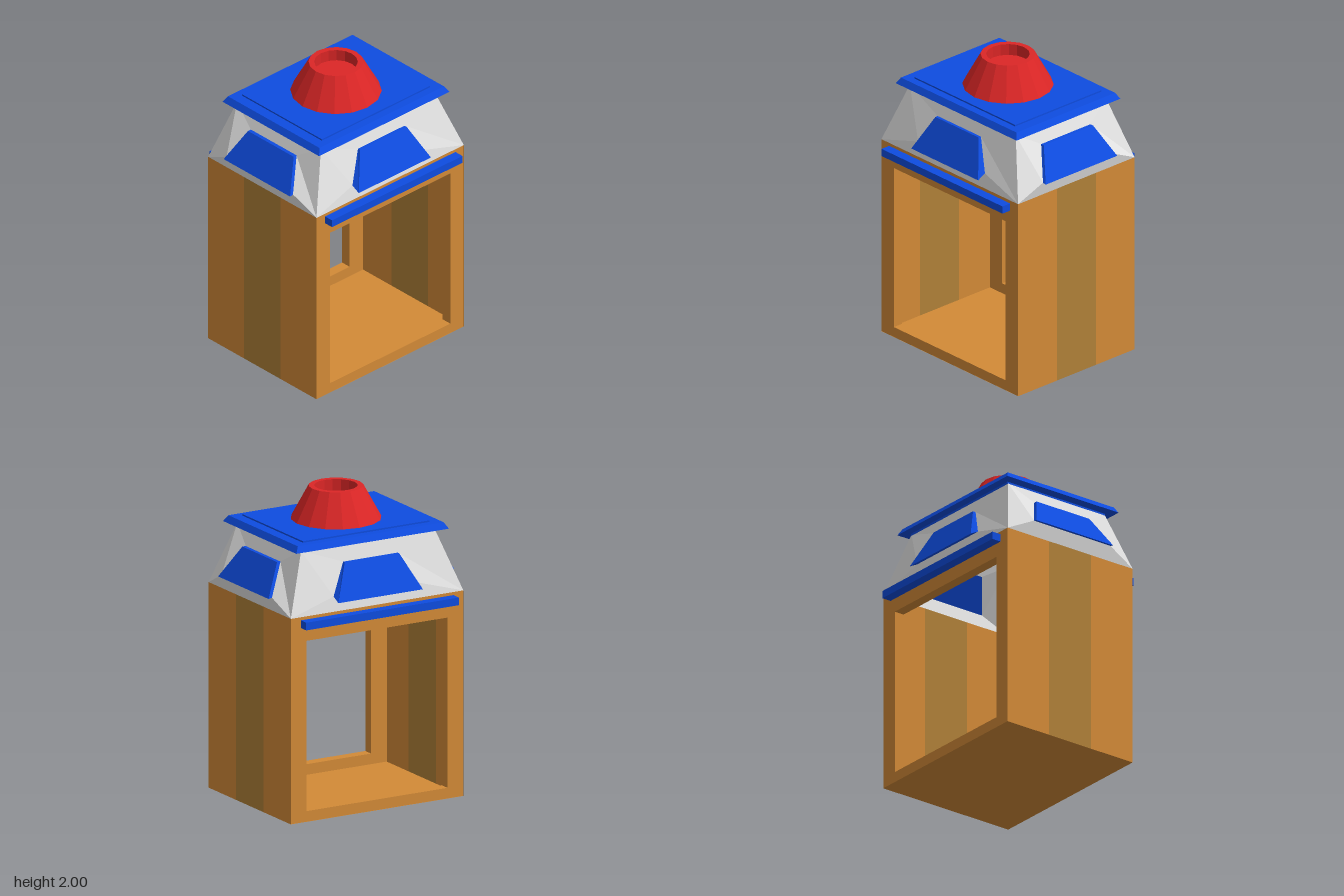
import * as THREE from 'three';

export function createModel() {
  const model = new THREE.Group();
  const mat = (name, color) => {
    const m = new THREE.MeshStandardMaterial({ color, side: THREE.DoubleSide, flatShading: true });
    m.name = name;
    return m;
  };
  const orange = mat('orange', 0xd28a37);
  const olive = mat('olive', 0xb08038);
  const white = mat('white', 0xe2e2e2);
  const blue = mat('blue', 0x0e4ce0);
  const red = mat('red', 0xdc2626);

  const add = (name, geometry, material, parent = model) => {
    const mesh = new THREE.Mesh(geometry, material);
    mesh.name = name;
    parent.add(mesh);
    return mesh;
  };

  // Flat-shaded geometry from a list of quads, counter-clockwise from outside
  const quads = (list) => {
    const pts = list.flatMap(([a, b, c, d]) => [a, b, c, a, c, d]).flat();
    const g = new THREE.BufferGeometry();
    g.setAttribute('position', new THREE.Float32BufferAttribute(pts, 3));
    g.computeVertexNormals();
    return g;
  };

  // Trapezoid facing +z: half width, height and depth at bottom and top
  const trapezoid = ([wb, yb, db], [wt, yt, dt]) =>
    [[-wb, yb, db], [wb, yb, db], [wt, yt, dt], [-wt, yt, dt]];
  // Four quads joining two loops of four corners
  const band = (a, b) => a.map((p, i) => [p, a[(i + 1) % 4], b[(i + 1) % 4], b[i]]);

  // Box between y0 and y1 whose top has its own half width and depth
  const slab = (name, y0, y1, [bx, bz], [tx, tz]) => {
    const g = new THREE.BoxGeometry(2, 1, 2).toNonIndexed();
    const p = g.attributes.position;
    for (let i = 0; i < p.count; i++) {
      const top = p.getY(i) > 0;
      p.setXYZ(i, p.getX(i) * (top ? tx : bx), top ? y1 : y0, p.getZ(i) * (top ? tz : bz));
    }
    g.computeVertexNormals();
    add(name, g, blue);
  };

  const W = 0.497, D = 0.633, H = 1.34, S = 0.167;

  // Floor
  add('floor', new THREE.PlaneGeometry(2 * W, 2 * D).rotateX(Math.PI / 2), orange);

  // Thin front and back walls, each with a centre stripe
  for (const [side, turn] of [['front', 0], ['back', Math.PI]]) {
    const wall = new THREE.Group();
    wall.name = side + 'Wall';
    wall.rotation.y = turn;
    model.add(wall);
    for (const [name, x0, x1, m] of [['panelRight', -W, -S, orange], ['stripe', -S, S, olive], ['panelLeft', S, W, orange]]) {
      add(name, new THREE.PlaneGeometry(x1 - x0, H).translate((x0 + x1) / 2, H / 2, D), m, wall);
    }
  }

  // Side frames with a large opening, and a rail above each
  const rect = (path, w, y0, y1) =>
    path.moveTo(-w, y0).lineTo(w, y0).lineTo(w, y1).lineTo(-w, y1).closePath();
  const frameShape = rect(new THREE.Shape(), D - 0.001, 0.001, H);
  frameShape.holes.push(rect(new THREE.Path(), 0.517, 0.07, 1.18));
  for (const s of [1, -1]) {
    const g = new THREE.ExtrudeGeometry(frameShape, { depth: 0.07, bevelEnabled: false });
    g.rotateY(Math.PI / 2).translate(s > 0 ? W - 0.07 : -W, 0, 0);
    add(s > 0 ? 'leftFrame' : 'rightFrame', g, orange);
    add(s > 0 ? 'leftRail' : 'rightRail',
      new THREE.BoxGeometry(0.065, 0.05, 1.12).translate(s * 0.53, 1.295, 0), blue);
  }

  // Sloping upper walls, each surrounding a raised trapezoid window
  const front = {
    wall: trapezoid([W, H, D], [0.385, 1.735, 0.49]),
    inner: trapezoid([0.305, 1.435, 0.655], [0.21, 1.63, 0.535]),
    outer: trapezoid([0.305, 1.43, 0.68], [0.21, 1.63, 0.56]),
  };
  const side = {
    wall: trapezoid([D, H, W], [0.49, 1.735, 0.385]),
    inner: trapezoid([0.31, 1.435, 0.482], [0.2, 1.63, 0.415]),
    outer: trapezoid([0.31, 1.405, 0.54], [0.2, 1.63, 0.435]),
  };
  ['front', 'left', 'back', 'right'].forEach((name, i) => {
    const { wall, inner, outer } = i % 2 ? side : front;
    const group = new THREE.Group();
    group.name = name + 'UpperWall';
    group.rotation.y = i * Math.PI / 2;
    model.add(group);
    add('slope', quads(band(wall, inner)), white, group);
    add('window', quads([...band(inner, outer), outer, [...inner].reverse()]), blue, group);
  });

  // Stepped roof
  slab('roofCollar', 1.725, 1.745, [0.388, 0.493], [0.388, 0.493]);
  slab('roofSlab', 1.74, 1.78, [0.443, 0.56], [0.42, 0.535]);
  slab('roofCap', 1.775, 1.79, [0.367, 0.465], [0.367, 0.465]);

  // Tapered chimney with a shallow recess
  const profile = [[0.29, 1.785], [0.173, 2], [0.137, 2], [0.137, 1.925], [0, 1.925]]
    .map(([x, y]) => new THREE.Vector2(x, y));
  const chimney = new THREE.LatheGeometry(profile, 16).toNonIndexed();
  chimney.computeVertexNormals();
  add('chimney', chimney, red);

  return model;
}
